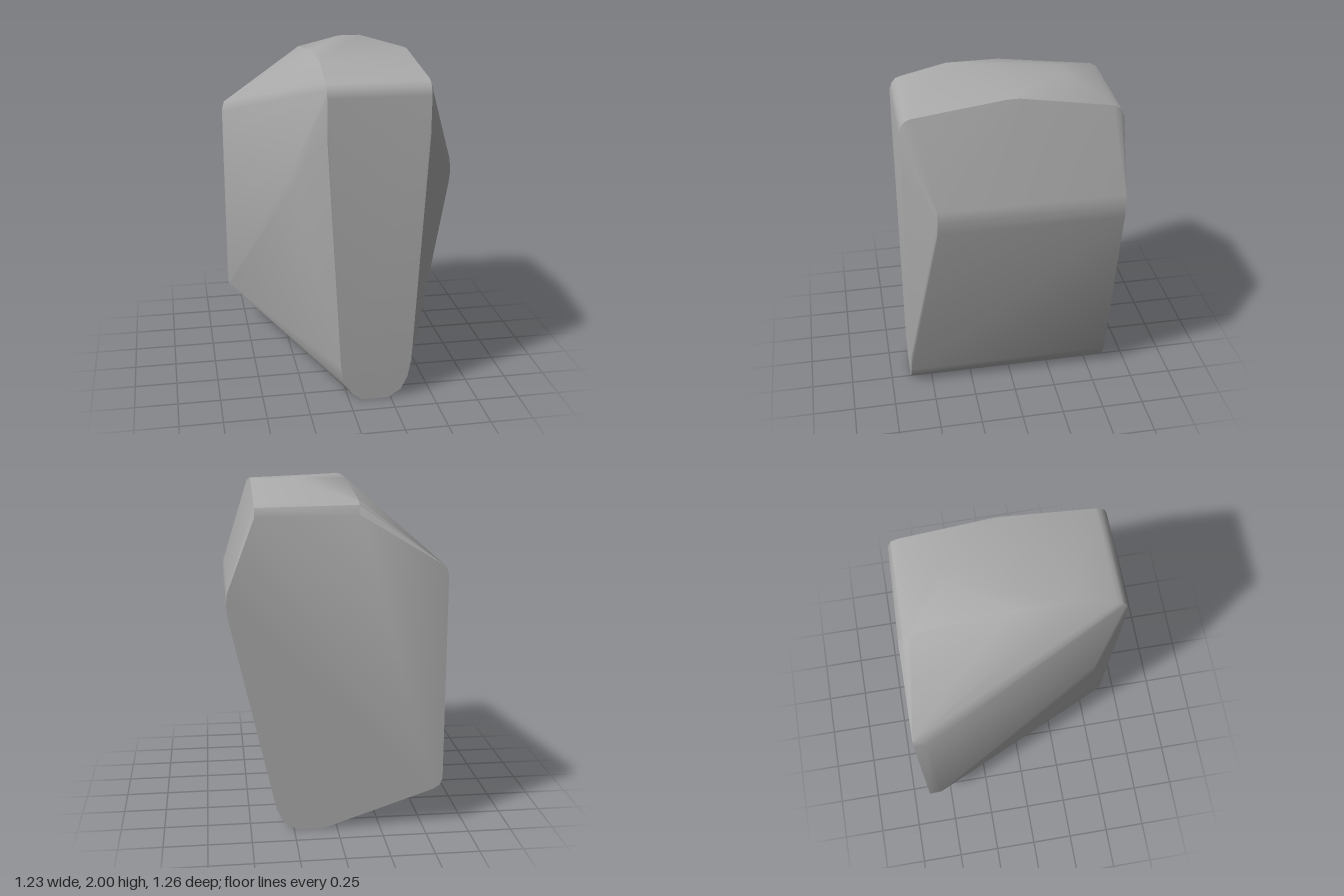
import * as THREE from 'three';
import { ConvexGeometry } from 'three/addons/geometries/ConvexGeometry.js';
import { toCreasedNormals } from 'three/addons/utils/BufferGeometryUtils.js';

export function createModel() {
  const group = new THREE.Group();
  group.name = 'rock';
  const stone = new THREE.MeshStandardMaterial({ color: 0xaaaaaa });
  stone.name = 'grey stone';

  const points = [];
  const add = (x, y, z) => points.push(new THREE.Vector3(x, y, z));
  // The back plane leans slightly from left to right
  const backZ = (x) => -0.616 + 0.031 * x;

  // Rounded foot, swept from front to back
  const foot = [[0.37, 0.24], [0.35, 0.13], [0.31, 0.05], [0.235, 0], [0.08, 0]];
  for (const [x, y] of foot) {
    add(x, y, 0.63);
    add(x, y, backZ(x));
  }
  // Left half of the rounded front toe
  for (const [x, y] of [[0.02, 0.04], [-0.03, 0.11], [-0.05, 0.22]]) add(x, y, 0.63);

  // Rounded top edge of the front face
  for (const [y, z] of [[1.6, 0.63], [1.82, 0.63], [1.865, 0.615], [1.89, 0.59], [1.9, 0.56]]) {
    add(-0.13, y, z);
    add(0.445, y, z);
  }

  // Right ridge, rounded over its height
  for (const [x, y] of [[0.605, 1.27], [0.612, 1.34], [0.605, 1.41]]) {
    add(x, y, 0.46);
    add(x, y, backZ(x));
  }

  // Left ridge and back left edge
  for (const y of [1.3, 1.41]) add(-0.29, y, 0.45);
  for (const [x, y] of [[-0.615, 1.49], [-0.6, 1.54], [-0.615, 0.29], [-0.6, 0.25], [-0.56, 0.225]]) {
    add(x, y, -0.635);
    if (x < -0.61) add(x + 0.002, y, -0.56);
  }

  // Crown and the rounded upper back edge
  for (const [x, y, z] of [
    [0.1, 2, -0.32], [0.23, 2, -0.32],
    [0.445, 1.97, 0.04], [0.445, 1.97, -0.02],
    [-0.12, 1.965, 0.3], [-0.12, 1.968, 0],
    [0.45, 1.89, -0.54], [0.45, 1.87, -0.58], [0.45, 1.82, -0.602],
    [-0.12, 1.9, -0.55], [-0.12, 1.88, -0.59], [-0.12, 1.83, -0.62],
  ]) add(x, y, z);

  const body = new THREE.Mesh(toCreasedNormals(new ConvexGeometry(points), 0.55), stone);
  body.name = 'rockBody';
  group.add(body);
  return group;
}
